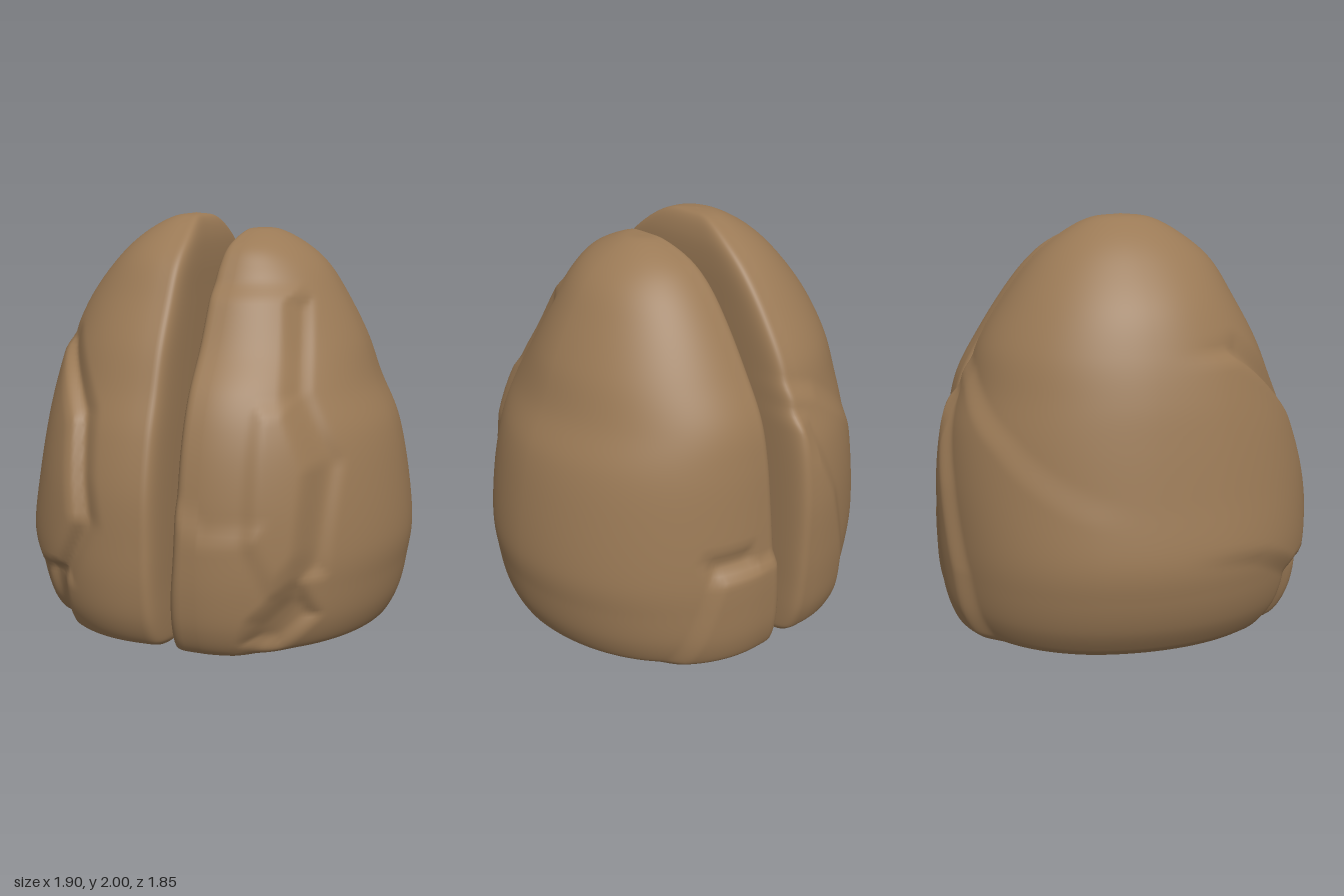
import * as THREE from 'three';

const stone = new THREE.MeshStandardMaterial({ color: 0x9b7a56 });
stone.name = 'brown stone';

const RIDGE = 0.17; // distance of each half's crest from the split
const OUT = 128, IN = 44, ROWS = 110;

// Profile rows: height, inner x, outer x, front z, back z
const leftProfile = [
  [0, 0.005, 0.80, 0.72, 0.78], [0.04, 0, 0.85, 0.80, 0.82], [0.15, 0, 0.90, 0.85, 0.85],
  [0.3, 0.005, 0.93, 0.87, 0.86], [0.48, 0.02, 0.95, 0.87, 0.86], [0.75, 0.03, 0.92, 0.85, 0.84],
  [1.0, 0.035, 0.865, 0.80, 0.81], [1.2, 0.04, 0.775, 0.72, 0.76], [1.4, 0.045, 0.705, 0.575, 0.65],
  [1.6, 0.05, 0.605, 0.46, 0.52], [1.75, 0.06, 0.51, 0.37, 0.40], [1.85, 0.085, 0.40, 0.28, 0.28],
  [1.92, 0.13, 0.27, 0.12, 0.12], [1.93, 0.17, 0.171, 0, 0],
];
const rightProfile = [
  [0, 0.03, 0.78, 0.76, 0.74], [0.04, 0.025, 0.82, 0.83, 0.78], [0.15, 0.025, 0.885, 0.88, 0.82],
  [0.3, 0.028, 0.93, 0.90, 0.84], [0.48, 0.03, 0.95, 0.90, 0.85], [0.75, 0.035, 0.91, 0.88, 0.85],
  [1.0, 0.04, 0.87, 0.82, 0.82], [1.2, 0.045, 0.83, 0.74, 0.76], [1.4, 0.05, 0.77, 0.66, 0.70],
  [1.6, 0.055, 0.68, 0.55, 0.58], [1.78, 0.06, 0.545, 0.44, 0.44], [1.9, 0.075, 0.42, 0.30, 0.30],
  [1.98, 0.11, 0.28, 0.15, 0.15], [2.0, 0.169, 0.171, 0, 0],
];

// Raised layers and chipped hollows: outline in x (away from the split) and y,
// face (front 1, back -1), height and edge softness
const leftChips = [
  { face: 1, h: 0.03, soft: 0.05, poly: [[-0.3, 1.65], [0.45, 1.65], [0.53, 1.2], [0.64, 0.9], [0.62, 0.55], [0.57, 0.3], [0.36, 0.05], [0.36, -0.3], [-0.3, -0.3]] },
  { face: 1, h: 0.025, soft: 0.05, poly: [[0.4, 1.15], [0.52, 1.16], [0.63, 0.9], [0.61, 0.5], [0.5, 0.35], [0.4, 0.6]] },
  { face: 1, h: 0.02, soft: 0.06, poly: [[-0.3, 0.75], [0.07, 0.72], [0.2, 0.6], [0.45, 0.62], [0.5, 0], [0.4, -0.3], [-0.3, -0.3]] },
  { face: 1, h: -0.03, soft: 0.04, poly: [[0.5, 1.6], [0.56, 1.2], [0.72, 0.9], [0.68, 0.4], [0.6, 0.4], [0.64, 0.9], [0.5, 1.2], [0.44, 1.6]] },
  { face: 1, h: -0.05, soft: 0.05, poly: [[0.38, 0.1], [0.42, 0.2], [0.58, 0.36], [0.64, 0.2], [0.5, 0.06]] },
  { face: -1, h: 0.03, soft: 0.04, poly: [[-0.3, 0.5], [0.4, 0.52], [0.55, 0], [0.55, -0.3], [-0.3, -0.3]] },
  { face: -1, h: -0.03, soft: 0.05, poly: [[0.2, 0.52], [0.42, 0.5], [0.45, 0.6], [0.22, 0.6]] },
];
const rightChips = [
  { face: 1, h: 0.045, soft: 0.04, poly: [[0.68, 1.38], [0.47, 1.07], [0.44, 0.8], [0.41, 0.6], [0.54, 0.36], [0.7, 0.33], [0.85, 0.45], [1.2, 0.6], [1.2, 1.3]] },
  { face: 1, h: -0.04, soft: 0.07, poly: [[0.7, 1.4], [0.49, 1.06], [0.46, 0.8], [0.43, 0.6], [0.57, 0.34], [0.5, 0.32], [0.36, 0.6], [0.4, 0.8], [0.42, 1.1], [0.62, 1.42]] },
  { face: 1, h: -0.05, soft: 0.04, poly: [[0.55, 0.34], [0.66, 0.34], [0.64, -0.2], [0.57, -0.2]] },
  { face: -1, h: 0.03, soft: 0.05, poly: [[-0.3, 1.4], [0.25, 1.25], [0.6, 1.0], [0.85, 0.75], [1.2, 0.5], [1.2, -0.3], [-0.3, -0.3]] },
  { face: -1, h: 0.04, soft: 0.05, poly: [[-0.3, 1.25], [0.12, 1.15], [0.3, 0.75], [0.42, 0.35], [0.45, 0], [0.45, -0.3], [-0.3, -0.3]] },
];

// Signed distance to a polygon, positive inside
function inset(px, py, poly) {
  let best = Infinity, inside = false;
  poly.forEach(([ax, ay], i) => {
    const [bx, by] = poly[(i + 1) % poly.length];
    const dx = bx - ax, dy = by - ay;
    const t = THREE.MathUtils.clamp(((px - ax) * dx + (py - ay) * dy) / (dx * dx + dy * dy), 0, 1);
    best = Math.min(best, Math.hypot(px - ax - t * dx, py - ay - t * dy));
    if ((ay > py) !== (by > py) && px < ax + (py - ay) * dx / dy) inside = !inside;
  });
  return inside ? best : -best;
}

function chipOffset(x, y, z, chips) {
  let offset = 0;
  for (const { face, h, soft, poly } of chips) {
    const fade = THREE.MathUtils.smoothstep(z * face, 0, 0.3);
    if (fade > 0) offset += face * h * fade * THREE.MathUtils.smoothstep(inset(x, y, poly), -soft, soft);
  }
  return offset;
}

// D-shaped cross-sections stacked up to the crest, with a flat base
function halfGeometry(side, profile, chips, frontRound, backRound) {
  const spline = new THREE.CubicInterpolant(profile.map((_, i) => i), profile.flat(), 5);
  const pos = [], index = [], n = OUT + IN;
  const power = (v, p) => Math.sign(v) * Math.pow(Math.abs(v), p);
  const tri = (a, b, c) => (side > 0 ? index.push(a, b, c) : index.push(a, c, b));

  for (let r = 0; r <= ROWS; r++) {
    const [y, inner, outer, front, back] = spline.evaluate(r / ROWS * (profile.length - 1));
    for (let k = 0; k < n; k++) {
      const outside = k < OUT;
      const a = outside ? -Math.PI / 2 + Math.PI * k / OUT : Math.PI / 2 + Math.PI * (k - OUT) / IN;
      const inFront = a > 0 && a < Math.PI;
      const p = 2 / (outside ? (inFront ? frontRound : backRound) : 6);
      const width = outside ? outer - RIDGE : RIDGE - inner;
      const x = RIDGE + width * power(Math.cos(a), p);
      const z = (inFront ? front : back) * power(Math.sin(a), p);
      pos.push(side * x, y, z + chipOffset(x, y, z, chips));
    }
  }
  for (let r = 0; r < ROWS; r++) {
    for (let k = 0; k < n; k++) {
      const a = r * n + k, b = r * n + (k + 1) % n;
      tri(a, a + n, b);
      tri(b, a + n, b + n);
    }
  }
  // Base: a copy of the first ring, fanned to a centre point
  const base = pos.length / 3;
  pos.push(...pos.slice(0, n * 3), side * 0.3, 0, 0);
  for (let k = 0; k < n; k++) tri(base + k, base + (k + 1) % n, base + n);

  const geometry = new THREE.BufferGeometry();
  geometry.setAttribute('position', new THREE.Float32BufferAttribute(pos, 3));
  geometry.setIndex(index);
  geometry.computeVertexNormals();
  return geometry;
}

export function createModel() {
  const group = new THREE.Group();
  group.name = 'splitBoulder';
  const halves = [
    ['leftHalf', 1, leftProfile, leftChips, 1.85, 2.0],
    ['rightHalf', -1, rightProfile, rightChips, 2.12, 2.0],
  ];
  for (const [name, ...shape] of halves) {
    const mesh = new THREE.Mesh(halfGeometry(...shape), stone);
    mesh.name = name;
    group.add(mesh);
  }
  return group;
}
